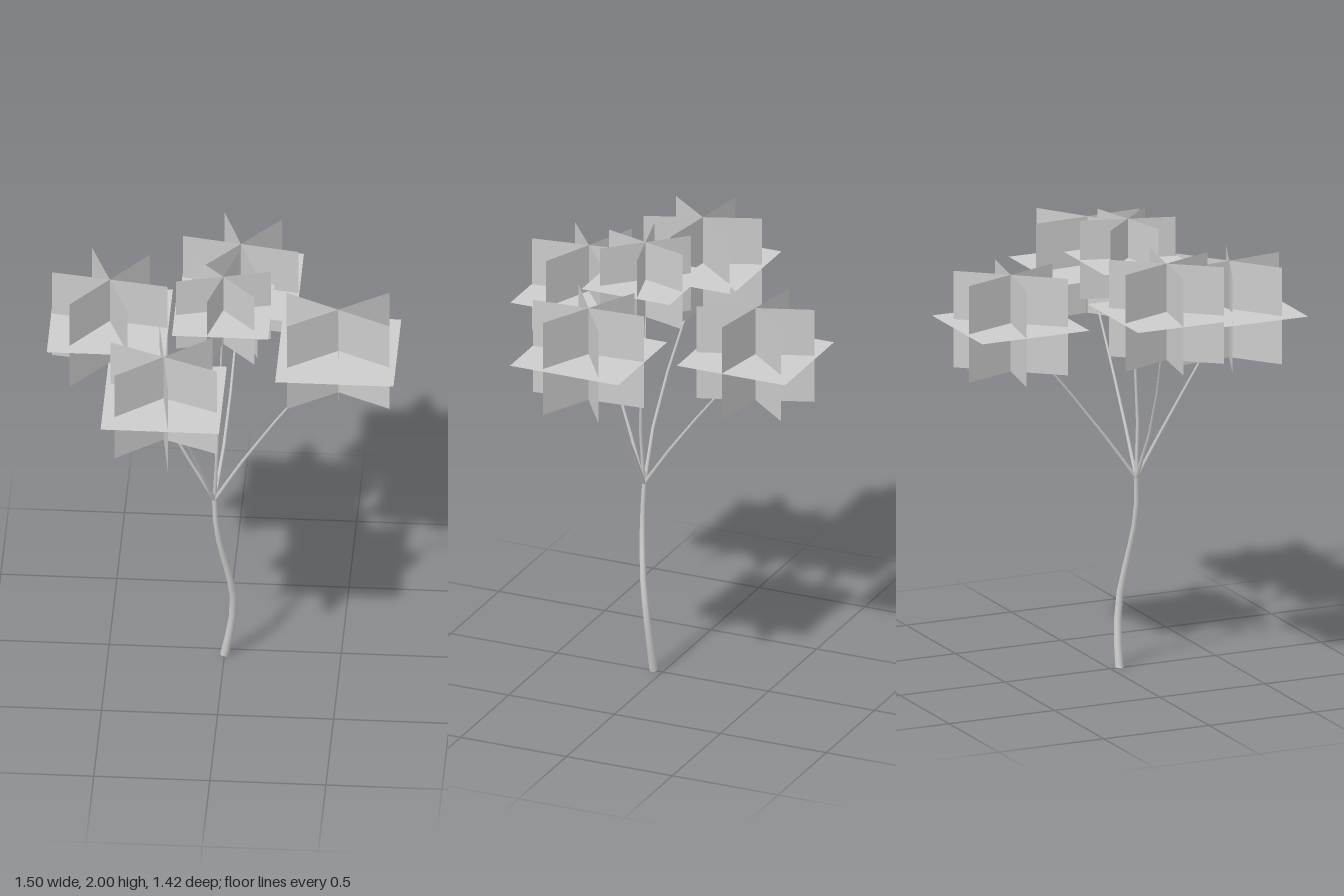
import * as THREE from 'three';

const barkMat = new THREE.MeshStandardMaterial({ color: 0xcccccc, side: THREE.DoubleSide });
barkMat.name = 'bark grey';
const leafMat = new THREE.MeshStandardMaterial({ color: 0xcccccc, side: THREE.DoubleSide });
leafMat.name = 'foliage grey';

// Tapered limb: a tube whose rings shrink along the path
function limb(name, points, r0, r1, segments, sides) {
  const curve = new THREE.CatmullRomCurve3(points.map(p => new THREE.Vector3(...p)));
  const geo = new THREE.TubeGeometry(curve, segments, 1, sides);
  const pos = geo.attributes.position;
  const v = new THREE.Vector3();
  for (let i = 0; i < pos.count; i++) {
    const t = Math.floor(i / (sides + 1)) / segments;
    const c = curve.getPointAt(t);
    v.fromBufferAttribute(pos, i).sub(c).multiplyScalar(r0 + (r1 - r0) * t).add(c);
    pos.setXYZ(i, v.x, v.y, v.z);
  }
  const mesh = new THREE.Mesh(geo, barkMat);
  mesh.name = name;
  return mesh;
}

// Foliage: three upright cards crossed at 60 degrees and one level card
function foliage(center, size, degrees) {
  const group = new THREE.Group();
  group.name = 'foliageCluster';
  group.position.set(...center);
  for (let i = 0; i < 3; i++) {
    const card = new THREE.Mesh(new THREE.PlaneGeometry(size, size * 0.845), leafMat);
    card.rotation.y = -THREE.MathUtils.degToRad(degrees + i * 60);
    card.name = 'uprightCard';
    group.add(card);
  }
  const level = new THREE.Mesh(new THREE.PlaneGeometry(size, size), leafMat);
  level.rotation.x = -Math.PI / 2;
  level.name = 'levelCard';
  group.add(level);
  return group;
}

export function createModel() {
  const tree = new THREE.Group();
  tree.name = 'tree';

  // Curved trunk up to the fork
  const fork = [-0.04, 0.85, 0.105];
  tree.add(limb('trunk', [
    [0, 0.004, 0.043], [0.026, 0.14, 0.047], [0.04, 0.29, 0.06], [0.022, 0.44, 0.082],
    [-0.01, 0.58, 0.1], [-0.032, 0.71, 0.109], fork,
  ], 0.019, 0.01, 8, 8));
  const base = new THREE.Mesh(new THREE.CircleGeometry(0.019, 8), barkMat);
  base.rotation.x = Math.PI / 2;
  base.position.set(0, 0.004, 0.043);
  base.name = 'trunkBase';
  tree.add(base);

  // Each branch bends at a middle point and ends at the heart of its foliage
  const crowns = [
    { mid: [0.125, 1.13, 0.11], end: [0.495, 1.665, 0.125], size: 0.51, turn: 26 },
    { mid: [0, 1.1, -0.07], end: [0.037, 1.588, -0.455], size: 0.51, turn: 10 },
    { mid: [-0.185, 1.13, 0.113], end: [-0.495, 1.715, 0.035], size: 0.51, turn: 8.7 },
    { mid: [-0.108, 1.12, 0.225], end: [-0.235, 1.612, 0.455], size: 0.51, turn: 22 },
    { mid: [-0.028, 1.12, 0.117], end: [-0.003, 1.825, 0.082], size: 0.415, turn: -14 },
  ];
  for (const { mid, end, size, turn } of crowns) {
    tree.add(limb('branch', [fork, mid, end], 0.009, 0.004, 4, 5));
    tree.add(foliage(end, size, turn));
  }
  return tree;
}
